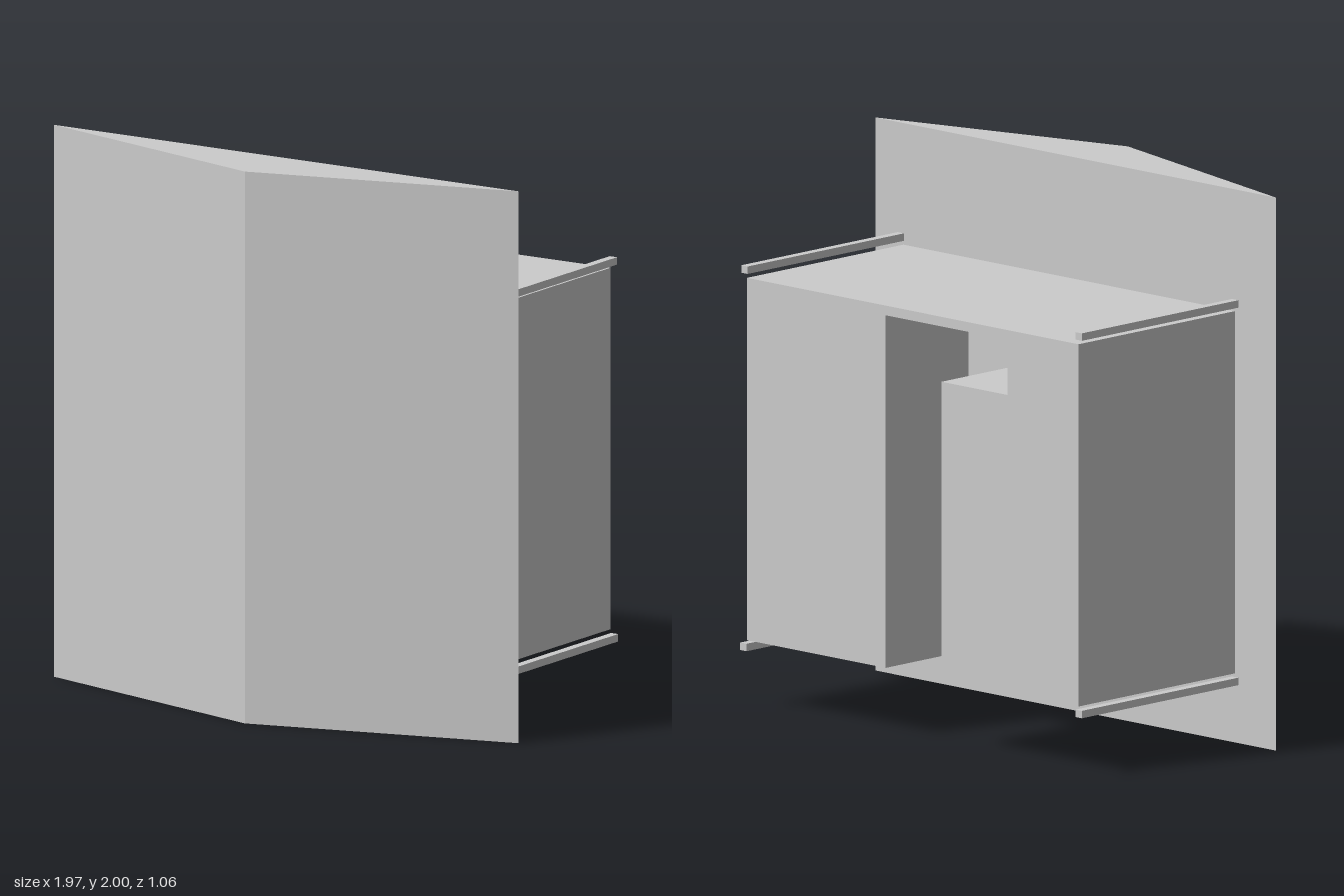
import * as THREE from 'three';

export function createModel() {
  const model = new THREE.Group();
  const grey = new THREE.MeshStandardMaterial({ color: 0xcccccc });
  grey.name = 'plain grey';

  const add = (name, geometry, x = 0, y = 0, z = 0) => {
    const mesh = new THREE.Mesh(geometry, grey);
    mesh.name = name;
    mesh.position.set(x, y, z);
    model.add(mesh);
    return mesh;
  };
  const extrude = (points, depth) => new THREE.ExtrudeGeometry(
    new THREE.Shape(points.map(([x, y]) => new THREE.Vector2(x, y))),
    { depth, bevelEnabled: false });

  const back = -0.53, notchEnd = -0.11, plateBack = 0.265, tip = 0.53;
  const right = -0.787, left = 0.85, bottom = 0.25, top = 1.56;

  // Tall front shield with a shallow wedge-shaped plan
  const shield = extrude([[-0.987, -plateBack], [0, -tip], [0.987, -plateBack]], 2);
  shield.rotateX(-Math.PI / 2);
  add('frontShield', shield);

  // Solid half of the body, against the shield
  add('bodyCore', new THREE.BoxGeometry(left - right, top - bottom, plateBack - notchEnd),
    (left + right) / 2, (top + bottom) / 2, (plateBack + notchEnd) / 2);

  // Rear half, with a slot open at the bottom and a side pocket at its top
  add('bodyRear', extrude([
    [right, bottom], [-0.11, bottom], [-0.11, 1.325], [-0.437, 1.325],
    [-0.437, 1.525], [0.165, 1.525], [0.165, bottom], [left, bottom],
    [left, top], [right, top],
  ], notchEnd - back), 0, 0, back);

  // Thin rails just off the four long edges of the body
  const rail = new THREE.BoxGeometry(0.031, 0.027, plateBack - back);
  const railZ = (plateBack + back) / 2;
  for (const [name, x, y] of [
    ['topRightRail', -0.787, 1.588], ['bottomRightRail', -0.787, 0.223],
    ['topLeftRail', 0.862, 1.588], ['bottomLeftRail', 0.867, 0.223],
  ]) add(name, rail, x, y, railZ);

  return model;
}
